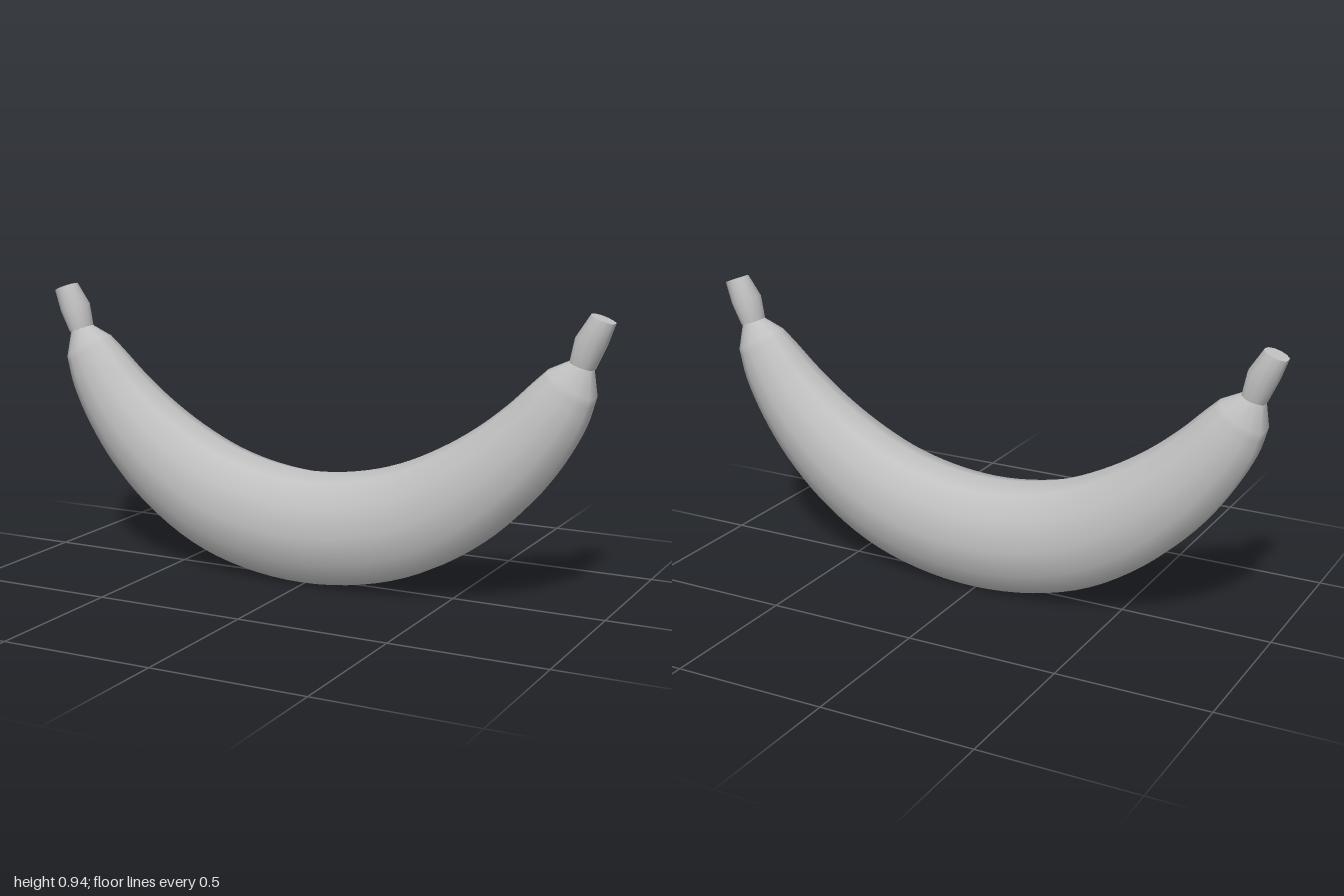
import * as THREE from 'three';

const skin = new THREE.MeshStandardMaterial({ color: 0xc0c0c0 });
skin.name = 'plain grey';

// Unit cross-section: [sideways, outer(-1) to inner(+1)], one half, then mirrored
const half = [[0, -1], [0.52, -0.96], [0.86, -0.54], [1, -0.04], [0.87, 0.5], [0.52, 0.88], [0, 1]];
const ring = [...half, ...half.slice(1, -1).reverse().map(([u, v]) => [-u, v])];

// A section is [outerX, outerY, innerX, innerY, halfWidth]
const mirror = (sections) => sections.map(([a, b, c, d, w]) => [-a, b, -c, d, w]).reverse();

// Skin a row of sections and close both ends with flat caps
function loft(sections) {
  const n = ring.length;
  const pos = [];
  const idx = [];
  const addRing = ([ox, oy, ix, iy, w]) => {
    for (const [u, v] of ring) {
      const k = (v + 1) / 2;
      pos.push(ox + (ix - ox) * k, oy + (iy - oy) * k, u * w);
    }
  };
  sections.forEach(addRing);
  for (let s = 0; s < sections.length - 1; s++) {
    for (let i = 0; i < n; i++) {
      const a = s * n + i;
      const b = s * n + ((i + 1) % n);
      idx.push(a, a + n, b, b, a + n, b + n);
    }
  }
  [sections[0], sections[sections.length - 1]].forEach((section, end) => {
    const base = pos.length / 3;
    addRing(section);
    for (let i = 1; i < n - 1; i++) {
      if (end) idx.push(base, base + i + 1, base + i);
      else idx.push(base, base + i, base + i + 1);
    }
  });
  const geo = new THREE.BufferGeometry();
  geo.setAttribute('position', new THREE.Float32BufferAttribute(pos, 3));
  geo.setIndex(idx);
  geo.computeVertexNormals();
  return geo;
}

export function createModel() {
  const group = new THREE.Group();
  const add = (name, sections) => {
    const mesh = new THREE.Mesh(loft(sections), skin);
    mesh.name = name;
    group.add(mesh);
  };

  // Curved body, from the middle out to the shoulder
  const side = [
    [0.22, 0.022, 0.16, 0.38, 0.157],
    [0.42, 0.085, 0.31, 0.42, 0.151],
    [0.6, 0.195, 0.45, 0.485, 0.142],
    [0.74, 0.325, 0.57, 0.56, 0.129],
    [0.84, 0.455, 0.67, 0.64, 0.112],
    [0.91, 0.58, 0.745, 0.712, 0.092],
    [0.943, 0.68, 0.797, 0.76, 0.072],
  ];
  const keys = [...mirror(side), [0, 0, 0, 0.365, 0.159], ...side];
  const outer = new THREE.CatmullRomCurve3(keys.map((k) => new THREE.Vector3(k[0], k[1], 0)), false, 'catmullrom');
  const inner = new THREE.CatmullRomCurve3(keys.map((k) => new THREE.Vector3(k[2], k[3], k[4])), false, 'catmullrom');
  const steps = (keys.length - 1) * 4;
  const body = [];
  for (let i = 0; i <= steps; i++) {
    const o = outer.getPoint(i / steps);
    const p = inner.getPoint(i / steps);
    body.push([o.x, o.y, p.x, p.y, p.z]);
  }
  // Narrow necks at both ends
  const neck = [[0.935, 0.77, 0.868, 0.793, 0.037]];
  add('body', [...mirror(neck), ...body, ...neck]);

  // Bulging end stubs
  const stub = [
    [0.939, 0.766, 0.864, 0.79, 0.042],
    [0.971, 0.837, 0.88, 0.866, 0.052],
    [0.998, 0.908, 0.925, 0.935, 0.038],
  ];
  add('leftStub', stub);
  add('rightStub', mirror(stub));
  return group;
}
